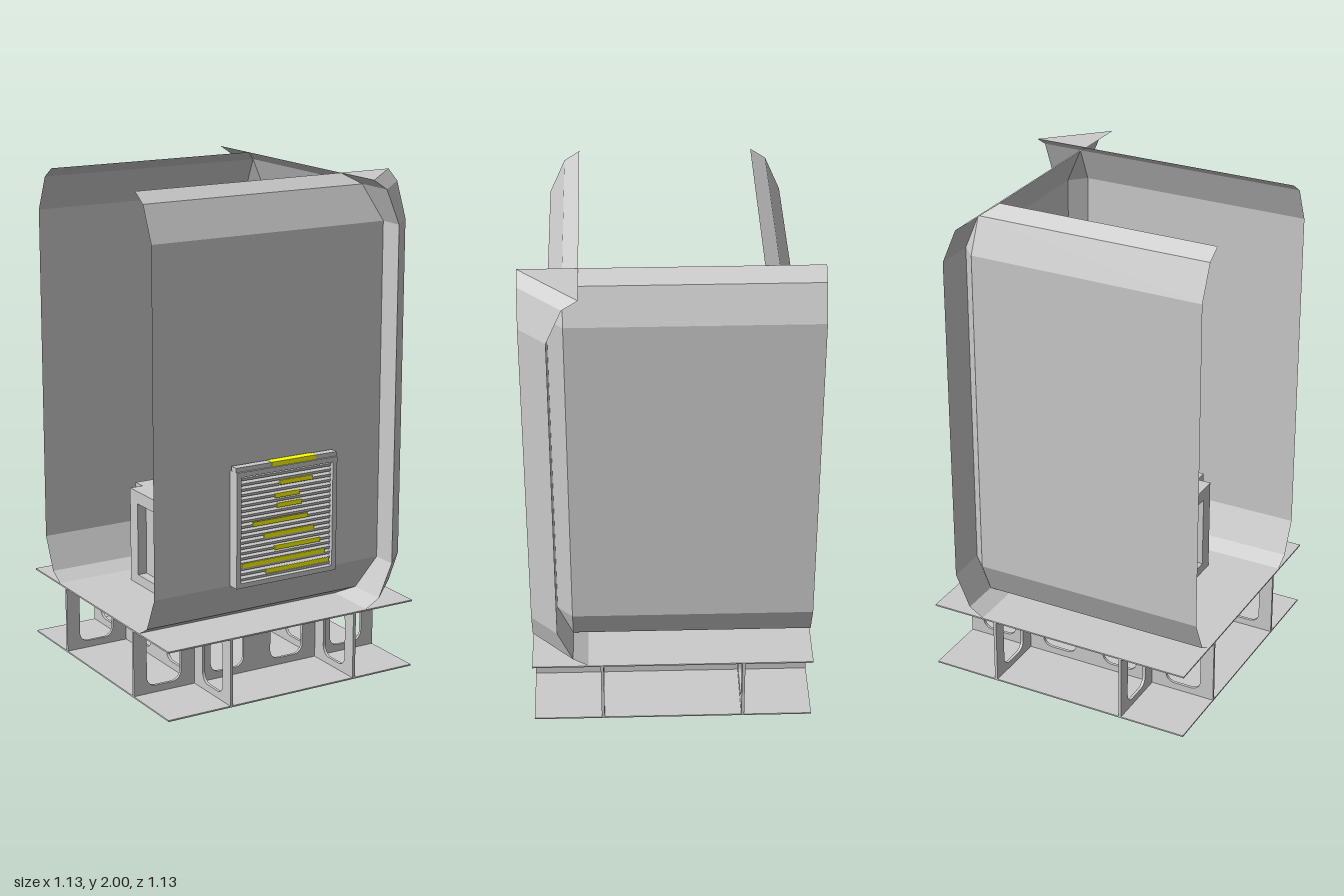
import * as THREE from 'three';

const grey = new THREE.MeshStandardMaterial({ color: 0xcccccc, flatShading: true, side: THREE.DoubleSide });
const yellow = new THREE.MeshStandardMaterial({ color: 0xffff00 });

const H = 0.565; // half width of the tile
// Wall profile: [height, distance from centre, where a chamfered corner begins]
const PROFILE = [
  [0.285, 0.34, 0.34], [0.32, 0.4, 0.4], [0.455, 0.46, 0.4],
  [1.82, 0.46, 0.4], [1.96, 0.4, 0.4], [2, 0.34, 0.34],
];

export function createModel() {
  const model = new THREE.Group();

  const add = (name, geometry, x = 0, y = 0, z = 0, material = grey) => {
    const mesh = new THREE.Mesh(geometry, material);
    mesh.name = name;
    mesh.position.set(x, y, z);
    model.add(mesh);
    return mesh;
  };
  const box = (name, w, h, d, x, y, z, material) =>
    add(name, new THREE.BoxGeometry(w, h, d), x, y, z, material);

  // Surface stretched between two edges that both follow the wall profile
  const sheet = (name, start, end) => {
    const points = [], index = [];
    PROFILE.forEach(([y, p, c], i) => {
      const a = start(p, c), b = end(p, c);
      points.push(a[0], y, a[1], b[0], y, b[1]);
      const k = 2 * i;
      if (i) index.push(k - 2, k - 1, k + 1, k - 2, k + 1, k);
    });
    const geometry = new THREE.BufferGeometry();
    geometry.setAttribute('position', new THREE.Float32BufferAttribute(points, 3));
    geometry.setIndex(index);
    const flat = geometry.toNonIndexed();
    flat.computeVertexNormals();
    add(name, flat);
  };

  const rectangle = (path, x0, y0, x1, y1) => {
    path.moveTo(x0, y0);
    path.lineTo(x1, y0);
    path.lineTo(x1, y1);
    path.lineTo(x0, y1);
    path.closePath();
    return path;
  };

  // Floor structure: two plates
  box('basePlate', 2 * H, 0.006, 2 * H, 0, 0.003, 0);
  box('floorPlate', 2 * H, 0.006, 2 * H, 0, 0.28, 0);

  // Crossing ribs with rounded windows
  const rib = rectangle(new THREE.Shape(), -H, 0.003, H, 0.28);
  for (const cx of [-0.43, -0.14, 0.14, 0.43]) {
    const w = 0.077, r = 0.04, y0 = 0.035, y1 = 0.26;
    const hole = new THREE.Path();
    hole.absarc(cx + w - r, y1 - r, r, 0, Math.PI / 2);
    hole.absarc(cx - w + r, y1 - r, r, Math.PI / 2, Math.PI);
    hole.absarc(cx - w + r, y0 + r, r, Math.PI, Math.PI * 1.5);
    hole.absarc(cx + w - r, y0 + r, r, Math.PI * 1.5, Math.PI * 2);
    hole.closePath();
    rib.holes.push(hole);
  }
  const ribGeometry = new THREE.ExtrudeGeometry(rib, { depth: 0.012, bevelEnabled: false, curveSegments: 5 });
  ribGeometry.translate(0, 0, -0.006);
  for (const s of [-1, 1]) {
    add('crossRib', ribGeometry, 0, 0, s * 0.285);
    add('lengthRib', ribGeometry, s * 0.285, 0, 0).rotation.y = Math.PI / 2;
  }

  // Walls with inward curling top and bottom, and chamfered inner corners
  sheet('frontWall', (p) => [-H, p], (p) => [H, p]);
  sheet('sideWall', (p, c) => [p, c], (p) => [p, -H]);
  sheet('backWall', (p) => [-H, -p], (p, c) => [c, -p]);
  sheet('frontCornerChamfer', (p, c) => [c, p], (p, c) => [p, c]);
  sheet('backCornerChamfer', (p, c) => [c, -p], (p, c) => [p, -c]);

  // Outer corner column with a triangular cap
  sheet('columnFace', (p) => [p, H], (p) => [H, p]);
  sheet('columnSide', (p) => [p, p], (p) => [p, H]);
  const cap = new THREE.Shape([
    new THREE.Vector2(0.34, -0.34), new THREE.Vector2(0.34, -H), new THREE.Vector2(H, -0.34),
  ]);
  const capGeometry = new THREE.ShapeGeometry(cap);
  capGeometry.rotateX(-Math.PI / 2);
  add('columnCap', capGeometry, 0, 2, 0);

  // Cabinet on the floor: notched core with a frame on each side
  const plus = (outer, inner) => {
    const shape = new THREE.Shape();
    [[inner, outer], [inner, inner], [outer, inner]].forEach(([x, y], i) =>
      i ? shape.lineTo(x, y) : shape.moveTo(x, y));
    [[outer, -inner], [inner, -inner], [inner, -outer], [-inner, -outer], [-inner, -inner],
      [-outer, -inner], [-outer, inner], [-inner, inner], [-inner, outer]].forEach(([x, y]) => shape.lineTo(x, y));
    shape.closePath();
    return shape;
  };
  const slab = (shape, y, h, name) => {
    const geometry = new THREE.ExtrudeGeometry(shape, { depth: h, bevelEnabled: false });
    geometry.rotateX(-Math.PI / 2);
    add(name, geometry, 0, y, 0);
  };
  slab(plus(0.25, 0.232), 0.283, 0.38, 'cabinetCore');
  slab(plus(0.29, 0.232), 0.665, 0.015, 'cabinetTop');
  const frame = rectangle(new THREE.Shape(), -0.232, 0, 0.232, 0.385);
  frame.holes.push(rectangle(new THREE.Path(), -0.17, 0.04, 0.17, 0.345));
  const frameGeometry = new THREE.ExtrudeGeometry(frame, { depth: 0.04, bevelEnabled: false });
  frameGeometry.translate(0, 0, 0.25);
  for (let i = 0; i < 4; i++) add('cabinetFrame', frameGeometry, 0, 0.283, 0).rotation.y = i * Math.PI / 2;

  // Vent on the front wall: frame, back panel, top lip and slats
  const vent = rectangle(new THREE.Shape(), -0.23, 0.455, 0.228, 0.92);
  vent.holes.push(rectangle(new THREE.Path(), -0.21, 0.475, 0.208, 0.9));
  add('ventFrame', new THREE.ExtrudeGeometry(vent, { depth: 0.05, bevelEnabled: false }), 0, 0, 0.46);
  box('ventBack', 0.42, 0.43, 0.006, 0, 0.688, 0.466);
  box('ventLip', 0.458, 0.018, 0.035, 0, 0.929, 0.485);
  for (let i = 0; i < 20; i++) {
    box('ventSlat', 0.418, 0.012, 0.024, 0, 0.487 + i * 0.0212, 0.483).rotation.x = 0.35;
  }

  // Yellow marks on the vent: [height, left end, right end]
  const marks = [
    [0.5, -0.09, 0.2], [0.54, -0.2, 0.18], [0.59, -0.05, 0.16], [0.645, -0.1, 0.13],
    [0.7, -0.15, 0.1], [0.76, -0.04, 0.07], [0.8, -0.05, 0.06], [0.85, -0.03, 0.12],
  ];
  for (const [y, x0, x1] of marks) {
    box('yellowStrip', x1 - x0, 0.018, 0.006, (x0 + x1) / 2, y, 0.496, yellow);
  }
  box('yellowLipStrip', 0.2, 0.02, 0.037, 0.03, 0.929, 0.485, yellow);

  return model;
}
